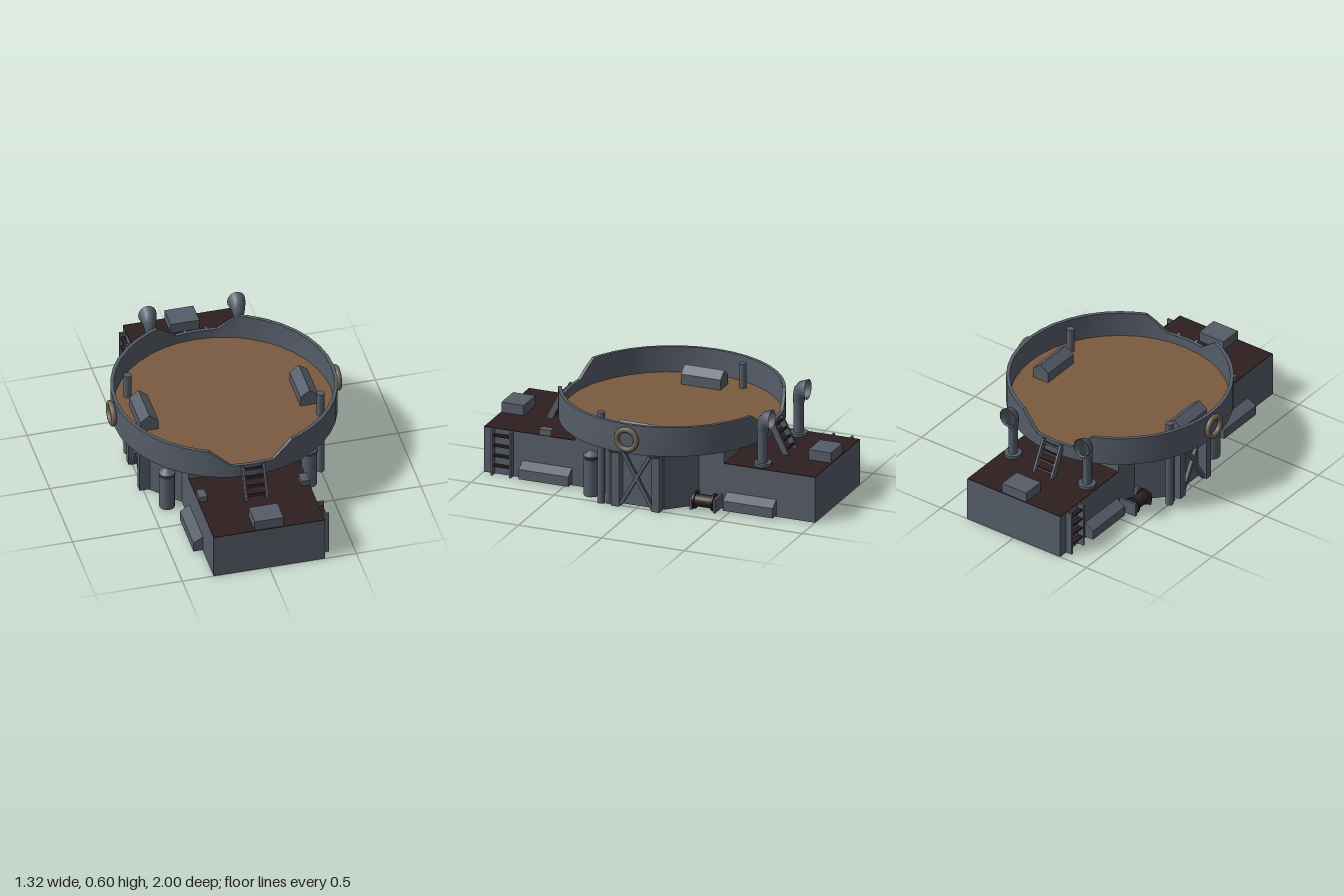
import * as THREE from 'three';
import { toCreasedNormals } from 'three/addons/utils/BufferGeometryUtils.js';

const paint = (name, color) => {
  const m = new THREE.MeshStandardMaterial({ color, side: THREE.DoubleSide });
  m.name = name;
  return m;
};

export function createModel() {
  const grey = paint('grey steel', 0x565d69);
  const deckRed = paint('dark red deck', 0x2e1f1f);
  const wood = paint('tan floor', 0x7a5b3f);
  const rope = paint('buoy tan', 0x6e6553);

  const model = new THREE.Group();
  model.name = 'roundDeckBarge';

  const add = (parent, name, geo, mat, x = 0, y = 0, z = 0) => {
    const m = new THREE.Mesh(geo, mat);
    m.name = name;
    m.position.set(x, y, z);
    parent.add(m);
    return m;
  };
  // Box given by its extents
  const box = (parent, name, mat, x0, x1, y0, y1, z0, z1) =>
    add(parent, name, new THREE.BoxGeometry(x1 - x0, y1 - y0, z1 - z0), mat,
      (x0 + x1) / 2, (y0 + y1) / 2, (z0 + z1) / 2);
  // Cylinder standing on y
  const post = (parent, name, mat, x, y0, y1, z, r, rTop = r) =>
    add(parent, name, new THREE.CylinderGeometry(rTop, r, y1 - y0, 14), mat, x, (y0 + y1) / 2, z);
  // Prism of a profile, centred along its length
  const prism = (points, length) => {
    const s = new THREE.Shape(points.map(p => new THREE.Vector2(...p)));
    return new THREE.ExtrudeGeometry(s, { depth: length, bevelEnabled: false }).translate(0, 0, -length / 2);
  };
  // Skin joining closed rings of points
  const loft = (rings, wrap, crease) => {
    const n = rings[0].length, pos = rings.flat(2), idx = [];
    for (let i = 0; i < rings.length - (wrap ? 0 : 1); i++) {
      const a = i * n, b = ((i + 1) % rings.length) * n;
      for (let j = 0; j < n; j++) {
        const k = (j + 1) % n;
        idx.push(a + j, a + k, b + k, a + j, b + k, b + j);
      }
    }
    const g = new THREE.BufferGeometry();
    g.setAttribute('position', new THREE.Float32BufferAttribute(pos, 3));
    g.setIndex(idx);
    return toCreasedNormals(g, crease);
  };

  // Hull: open-bottomed walls, wider amidships, with a raised middle
  const DECK = 0.267, BASE = 0.372, TOP = 0.545;
  const plan = end => {
    const side = [[0.32, end], [0.32, 0.3], [0.465, 0.15], [0.465, -0.15], [0.32, -0.3], [0.32, -end]];
    return [...side, ...side.map(([x, z]) => [-x, -z])];
  };
  const walls = (end, y0, y1) => loft([y0, y1].map(y => plan(end).map(([x, z]) => [x, y, z])), false, 0.1);
  add(model, 'lowerHull', walls(1, 0, DECK), grey);
  add(model, 'upperHull', walls(0.45, DECK, BASE), grey);

  // Round platform with tan floor
  add(model, 'platformBase', new THREE.CylinderGeometry(0.63, 0.63, 0.018, 40), grey, 0, BASE + 0.009, 0);
  add(model, 'platformFloor', new THREE.CylinderGeometry(0.616, 0.616, 0.006, 40), wood, 0, 0.392, 0);

  // Parapet with a sloped gap at the front and the back
  const angles = [];
  for (let i = 0; i < 40; i++) angles.push(i * Math.PI / 20);
  for (const x of [0.12, 0.24]) {
    const t = Math.asin(x / 0.63);
    angles.push(t, Math.PI - t, Math.PI + t, 2 * Math.PI - t);
  }
  angles.sort((a, b) => a - b);
  const rims = angles.map(t => {
    const s = Math.sin(t), c = Math.cos(t);
    const h = THREE.MathUtils.clamp(0.45 + (Math.abs(s) * 0.63 - 0.12) / 0.12 * 0.095, 0.45, TOP);
    return [[0.633, BASE], [0.633, h], [0.613, h], [0.613, BASE]].map(([r, y]) => [r * s, y, r * c]);
  });
  add(model, 'parapet', loft(rims, true, 0.4), grey);

  // Crossed beams under the platform, with tapered ends
  const beam = prism([[-0.585, BASE], [-0.55, 0.33], [0.55, 0.33], [0.585, BASE]], 0.045);
  for (const s of [-1, 1]) {
    add(model, 'crossBeam', beam, grey, 0, 0, s * 0.12);
    add(model, 'longBeam', beam, grey, s * 0.12, 0, 0).rotation.y = Math.PI / 2;
  }

  // Parts repeated by a half turn
  for (const turn of [0, Math.PI]) {
    const half = new THREE.Group();
    half.name = turn ? 'backHalf' : 'frontHalf';
    half.rotation.y = turn;
    model.add(half);

    box(half, 'endDeck', deckRed, -0.319, 0.319, 0.262, 0.27, 0.45, 0.999);
    box(half, 'deckBox', grey, -0.083, 0.083, DECK, 0.33, 0.86, 0.995);

    // Lockers along the sides
    for (const s of [-1, 1]) {
      const locker = prism([[0, 0.01], [s * 0.055, 0.01], [s * 0.055, 0.068], [0, 0.102]], 0.3);
      add(half, 'sideLocker', locker, grey, s * 0.32, 0, 0.617);
    }

    // Upright ladder on the hull
    for (const z of [0.827, 0.938]) box(half, 'ladderRail', grey, 0.32, 0.358, 0, DECK, z - 0.006, z + 0.006);
    for (let i = 0; i < 4; i++)
      box(half, 'ladderRung', deckRed, 0.328, 0.35, 0.05 + i * 0.06, 0.062 + i * 0.06, 0.83, 0.935);

    // Sloping ladder from the deck to the platform
    const steps = new THREE.Group();
    steps.name = 'boardingLadder';
    steps.position.set(0, 0.355, 0.672);
    steps.rotation.x = -0.46;
    half.add(steps);
    for (const x of [-0.06, 0.06]) box(steps, 'stepRail', grey, x - 0.007, x + 0.007, -0.1, 0.1, -0.018, 0.018);
    for (let i = 0; i < 4; i++)
      box(steps, 'step', deckRed, -0.054, 0.054, -0.078 + i * 0.05, -0.066 + i * 0.05, -0.015, 0.015);

    // Braced frame, tall pipe, hatch and lifebuoy on one side
    for (const z of [-0.122, 0.122]) box(half, 'frameLeg', grey, 0.465, 0.522, 0, BASE, z - 0.023, z + 0.023);
    for (const s of [-1, 1])
      add(half, 'frameBrace', new THREE.BoxGeometry(0.02, 0.39, 0.02), grey, 0.5, 0.18, 0).rotation.x = s * 0.52;
    post(half, 'tallPipe', grey, 0.498, 0, 0.54, 0.215, 0.022);
    post(half, 'shortPipe', grey, 0.485, 0, BASE, 0.175, 0.018);

    const hatch = prism([[-0.052, 0], [0.052, 0], [0.052, 0.065], [0, 0.105], [-0.052, 0.065]], 0.24);
    add(half, 'hatch', hatch, grey, 0.46, 0.39, 0);

    const buoy = new THREE.TorusGeometry(0.059, 0.016, 10, 24);
    add(half, 'lifebuoy', buoy, rope, 0.647, 0.46, 0).rotation.y = Math.PI / 2;
  }

  // Cowl vent: upright tube widening into a mouth that faces back
  const ventPath = [
    [0.27, -0.656, 0.03, 0], [0.45, -0.656, 0.03, 0], [0.49, -0.658, 0.036, 0.3],
    [0.52, -0.667, 0.045, 0.7], [0.538, -0.683, 0.053, 1.15], [0.545, -0.712, 0.06, 1.57]];
  const ventRings = ventPath.map(([y, z, r, tilt]) => Array.from({ length: 16 }, (_, i) => {
    const a = i * Math.PI / 8, d = r * Math.sin(a);
    return [r * 0.87 * Math.cos(a), y + d * Math.sin(tilt), z + d * Math.cos(tilt)];
  }));
  const vent = loft(ventRings.map(r => r.reverse()), false, 0.9);

  // Mirrored parts that differ between front and back
  for (const s of [-1, 1]) {
    add(model, 'cowlVent', vent, grey, s * 0.255, 0, 0);
    post(model, 'ventFoot', grey, s * 0.255, DECK, 0.288, -0.658, 0.05);
    box(model, 'deckLocker', grey, s * 0.293 - 0.023, s * 0.293 + 0.023, DECK, 0.303, 0.597, 0.67);

    // Capped tank with a dark band
    post(model, 'tank', grey, s * 0.408, 0, 0.217, 0.312, 0.044);
    post(model, 'tankBand', deckRed, s * 0.408, 0.217, 0.229, 0.312, 0.036);
    post(model, 'tankRim', grey, s * 0.408, 0.229, 0.238, 0.312, 0.048);
    post(model, 'tankCap', grey, s * 0.408, 0.238, 0.262, 0.312, 0.048, 0.014);

    // Cable reel lying along the hull
    const reel = new THREE.Group();
    reel.name = 'cableReel';
    reel.position.set(s * 0.395, 0.06, -0.367);
    model.add(reel);
    const disc = (name, mat, r, len, z) =>
      add(reel, name, new THREE.CylinderGeometry(r, r, len, 14), mat, 0, 0, z).rotation.x = Math.PI / 2;
    disc('reelDrum', deckRed, 0.036, 0.12, 0);
    for (const e of [-1, 1]) {
      disc('reelFlange', deckRed, 0.05, 0.012, e * 0.056);
      box(reel, 'reelBracket', grey, -0.075, 0.035, -0.05, 0.03, e * 0.07 - 0.007, e * 0.07 + 0.007).scale.x = 1;
      reel.children.at(-1).position.x = -s * 0.02;
    }
  }
  return model;
}
